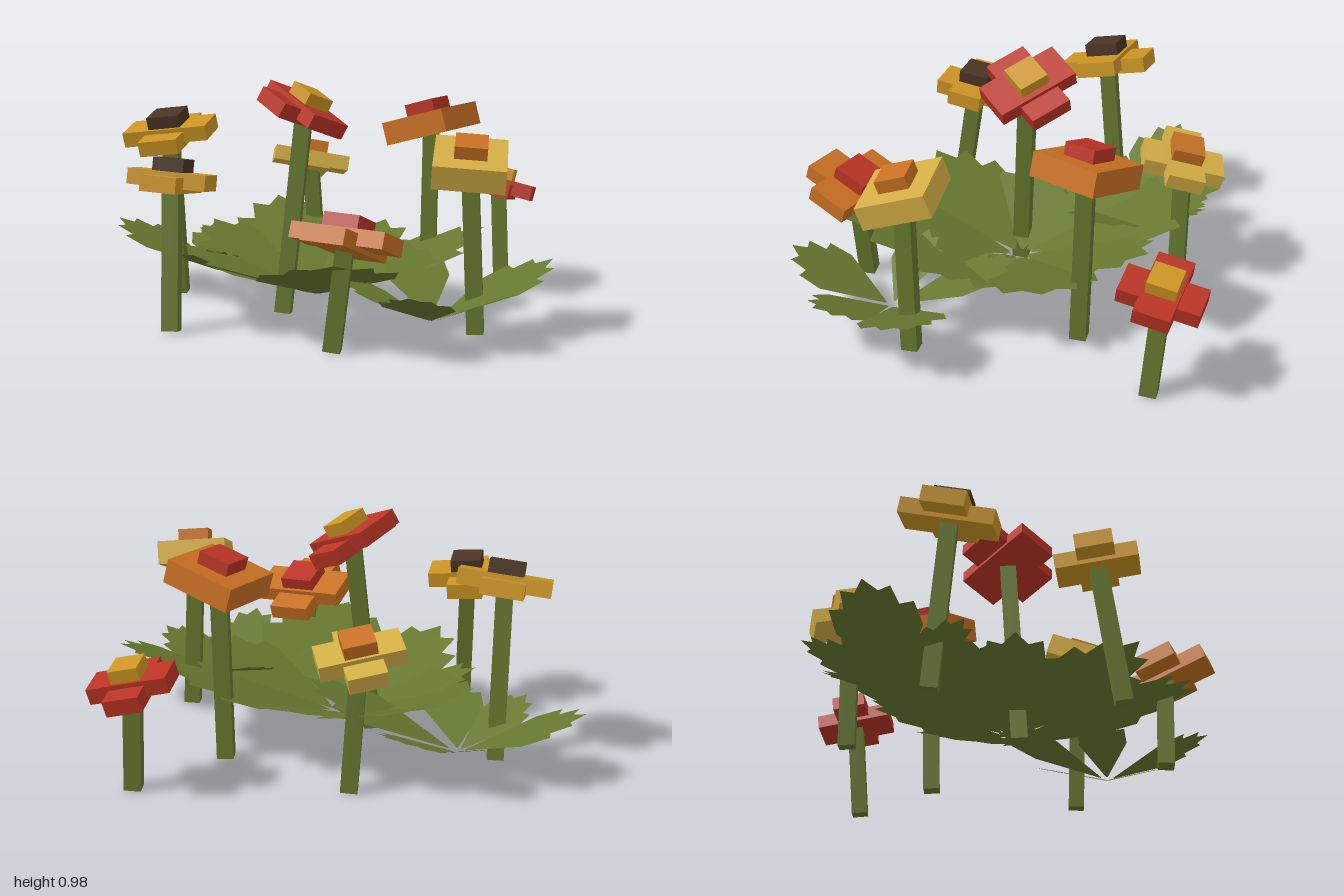
import * as THREE from 'three';

const UP = new THREE.Vector3(0, 1, 0);

function paint(name, hex, options = {}) {
  const m = new THREE.MeshStandardMaterial({ color: hex, ...options });
  m.name = name;
  return m;
}

export function createModel() {
  const green = paint('stem green', 0x65782f);
  const leafGreen = paint('leaf green', 0x65782f, { side: THREE.DoubleSide });
  const red = paint('red', 0xb93425);
  const orange = paint('orange', 0xc87023);
  const gold = paint('gold', 0xcb9423);
  const pale = paint('pale yellow', 0xd4ae45);
  const brown = paint('dark brown', 0x4a3424);

  const model = new THREE.Group();
  model.name = 'flowerPatch';

  const box = (parent, name, mat, w, h, d, y) => {
    const mesh = new THREE.Mesh(new THREE.BoxGeometry(w, h, d), mat);
    mesh.name = name;
    mesh.position.y = y;
    parent.add(mesh);
    return mesh;
  };

  // One flower: square stem from foot to head, blossom tilted by slopes [dy/dx, dy/dz] and turned by yaw
  function addFlower({ foot, head, slope, yaw, size, width, heart, petals, middle }) {
    const flower = new THREE.Group();
    flower.name = 'flower';
    const a = new THREE.Vector3(foot[0], 0, foot[1]);
    const b = new THREE.Vector3(...head);
    const normal = new THREE.Vector3(-slope[0], 1, -slope[1]).normalize();

    const dir = b.clone().sub(a);
    const stem = box(flower, 'stem', green, 0.068, dir.length(), 0.068, 0);
    stem.position.copy(a).add(b).multiplyScalar(0.5);
    stem.quaternion.setFromUnitVectors(UP, dir.normalize());

    const blossom = new THREE.Group();
    blossom.name = 'blossom';
    blossom.position.copy(b);
    blossom.quaternion.setFromUnitVectors(UP, normal)
      .multiply(new THREE.Quaternion().setFromAxisAngle(UP, yaw));
    flower.add(blossom);

    const thick = width ? 0.065 : 0.1;
    if (width) {
      // Two crossed petal bars, one a little lower
      box(blossom, 'petalBar', petals, size, thick, width, 0);
      box(blossom, 'petalBarLower', petals, width, thick, size, -0.018);
    } else {
      box(blossom, 'petalBlock', petals, size, thick, size, 0);
    }
    box(blossom, 'flowerHeart', middle, heart, 0.09, heart, thick / 2 + 0.008);
    model.add(flower);
  }

  [
    { foot: [-0.13, 0.05], head: [-0.045, 0.86, 0], slope: [-0.52, 0], yaw: -0.78,
      size: 0.36, width: 0.18, heart: 0.13, petals: red, middle: gold },
    { foot: [-0.655, -0.28], head: [-0.675, 0.735, -0.21], slope: [0.14, -0.2], yaw: -0.09,
      size: 0.38, width: 0.175, heart: 0.145, petals: gold, middle: brown },
    { foot: [-0.52, 0.45], head: [-0.53, 0.605, 0.36], slope: [-0.08, 0.12], yaw: -0.11,
      size: 0.33, width: 0.15, heart: 0.13, petals: gold, middle: brown },
    { foot: [-0.08, -0.65], head: [-0.12, 0.56, -0.65], slope: [-0.12, 0.3], yaw: 0.24,
      size: 0.34, width: 0.155, heart: 0.13, petals: pale, middle: orange },
    { foot: [0.765, -0.685], head: [0.745, 0.45, -0.72], slope: [-0.25, 0.14], yaw: -0.11,
      size: 0.325, width: 0.145, heart: 0.12, petals: red, middle: gold },
    { foot: [0.45, -0.34], head: [0.46, 0.77, -0.36], slope: [0.26, 0.1], yaw: -0.45,
      size: 0.305, heart: 0.14, petals: orange, middle: red },
    { foot: [0.695, 0.295], head: [0.665, 0.685, 0.315], slope: [-0.08, -0.33], yaw: 0.03,
      size: 0.29, heart: 0.13, petals: pale, middle: orange },
    { foot: [0.165, 0.66], head: [0.22, 0.44, 0.675], slope: [-0.15, 0.33], yaw: -0.34,
      size: 0.395, width: 0.18, heart: 0.15, petals: orange, middle: red },
  ].forEach(addFlower);

  // Flat lobed leaf along +x, unit length, as [along, half width]
  const outline = [[0.06, 0.01], [0.56, 0.3], [0.77, 0.29], [0.76, 0.19], [0.92, 0.17], [0.89, 0.08], [1, 0]];
  const shape = new THREE.Shape();
  outline.forEach(([x, w], i) => (i ? shape.lineTo(x, w) : shape.moveTo(x, w)));
  outline.slice(0, -1).reverse().forEach(([x, w]) => shape.lineTo(x, -w));
  const leafGeometry = new THREE.ShapeGeometry(shape).rotateX(-Math.PI / 2);

  // Rosettes: leaves as [angle from +x towards +z in degrees, length on the ground, breadth]
  function addRosette(x, z, rise, leaves) {
    const rosette = new THREE.Group();
    rosette.name = 'leafRosette';
    rosette.position.set(x, 0.07, z);
    for (const [deg, length, breadth] of leaves) {
      const leaf = new THREE.Mesh(leafGeometry, leafGreen);
      leaf.name = 'leaf';
      leaf.scale.set(length * Math.hypot(1, rise), 1, length * breadth);
      leaf.rotation.set(0, -deg * Math.PI / 180, Math.atan(rise), 'YXZ');
      rosette.add(leaf);
    }
    model.add(rosette);
  }

  addRosette(0.01, 0.02, 0.36, [
    [77, 0.8, 1.15], [130, 0.66, 1.15], [178, 0.58, 1.1], [218, 0.68, 1.1],
    [249, 0.84, 0.95], [291, 0.64, 1.2], [339, 0.74, 1.15], [24, 0.66, 1.1],
  ]);
  addRosette(-0.5, -0.4, 0.43, [
    [192, 0.51, 1.1], [256, 0.39, 1.05], [9, 0.63, 0.85], [85, 0.42, 1], [138, 0.38, 1], [312, 0.42, 1],
  ]);
  addRosette(0.53, 0.43, 0.43, [
    [-26, 0.52, 1.1], [31, 0.4, 1.1], [97, 0.45, 1.05], [187, 0.38, 0.9], [254, 0.52, 0.85],
  ]);

  return model;
}
